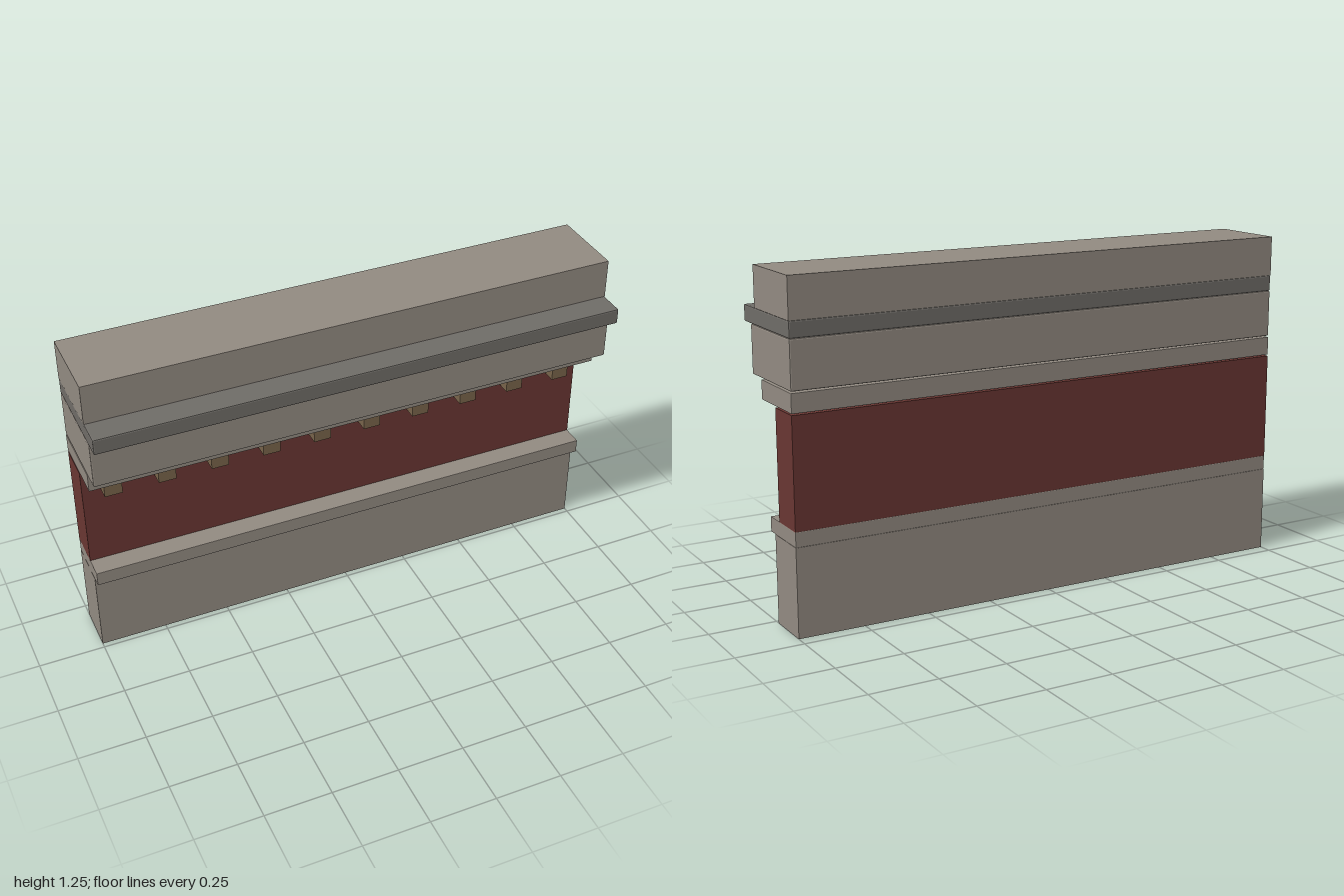
import * as THREE from 'three';
import { RoundedBoxGeometry } from 'three/addons/geometries/RoundedBoxGeometry.js';

const BACK = -0.2;
const LENGTH = 2;

function material(color) {
  return new THREE.MeshStandardMaterial({ color, flatShading: true });
}

export function createModel() {
  const group = new THREE.Group();
  const stone = material(0x928a81);
  const darkStone = material(0x6f6c67);
  const brick = material(0x693632);
  const timber = material(0x77634a);

  // Full-length course from y0 to y1, reaching from the flat back to zFront
  function course(name, y0, y1, zFront, mat, bevel = 0) {
    const h = y1 - y0, d = zFront - BACK;
    const geometry = bevel
      ? new RoundedBoxGeometry(LENGTH, h, d, 1, bevel)
      : new THREE.BoxGeometry(LENGTH, h, d);
    const mesh = new THREE.Mesh(geometry, mat);
    mesh.name = name;
    mesh.position.set(0, (y0 + y1) / 2, (zFront + BACK) / 2);
    group.add(mesh);
  }

  // Stacked courses, bottom to top
  course('plinth', 0, 0.325, -0.02, stone);
  course('plinthLedge', 0.325, 0.38, 0.02, stone, 0.002);
  course('brickWall', 0.38, 0.783, -0.06, brick);
  course('bedMoulding', 0.788, 0.858, 0.06, stone, 0.002);
  course('frieze', 0.863, 1.04, 0.14, stone, 0.005);
  course('cornice', 1.04, 1.1, 0.2, darkStone, 0.005);
  course('parapet', 1.1, 1.25, 0.1, stone);

  // Row of dentil blocks under the bed moulding
  const dentils = new THREE.Group();
  dentils.name = 'dentils';
  const dentilGeometry = new THREE.BoxGeometry(0.066, 0.09, 0.06);
  for (let i = 0; i < 10; i++) {
    const dentil = new THREE.Mesh(dentilGeometry, timber);
    dentil.name = 'dentil';
    dentil.position.set(-0.9 + i * 0.2, 0.744, -0.03);
    dentils.add(dentil);
  }
  group.add(dentils);
  return group;
}
